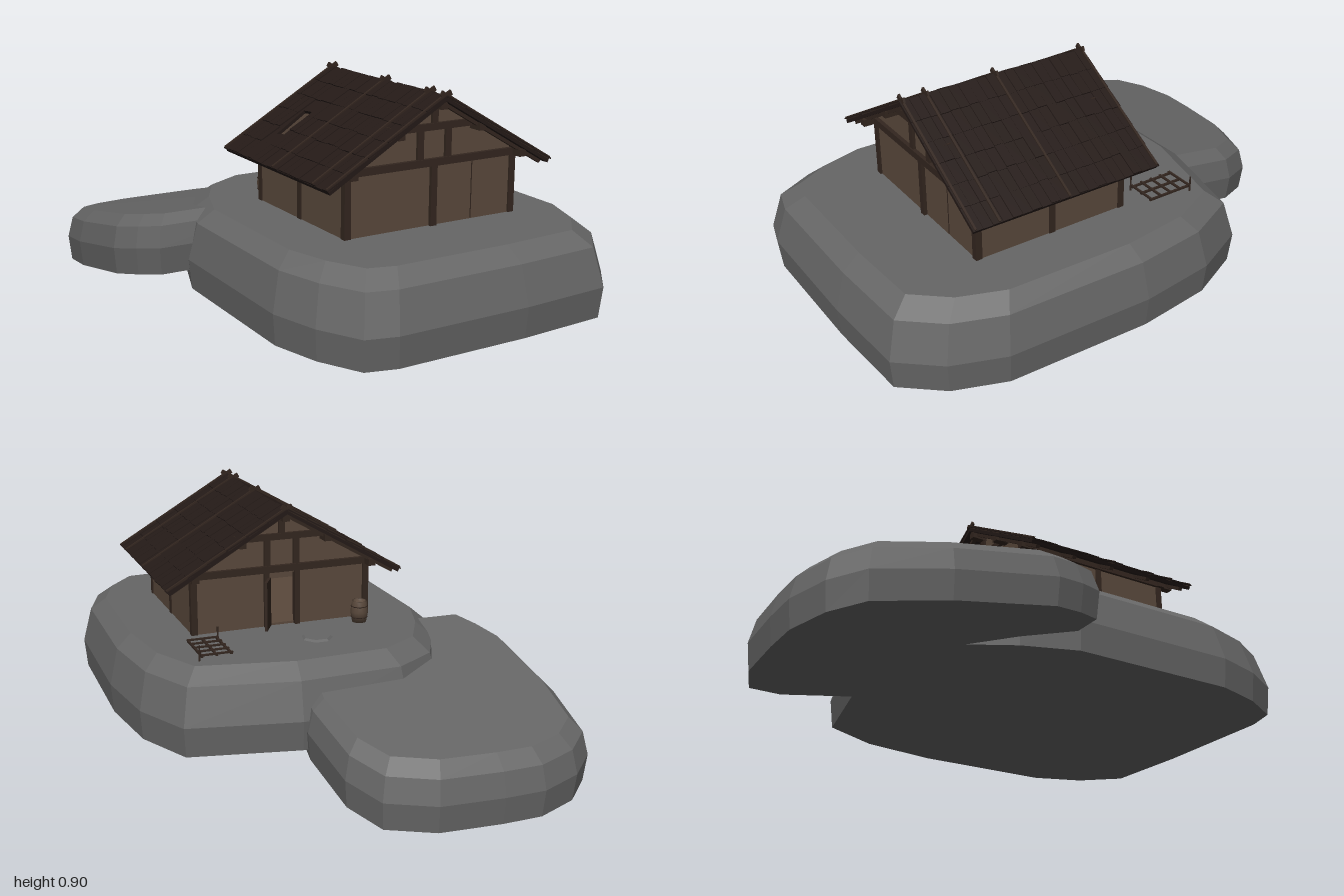
import * as THREE from 'three';

const mat = (color, extra = {}) => new THREE.MeshStandardMaterial({ color, ...extra });
const ROCK = mat(0x666666, { flatShading: true });
const WALL = mat(0x5a493c, { side: THREE.DoubleSide });
const BEAM = mat(0x33261f);
const ROOF = mat(0x241a17);

const GROUND = 0.437, MID = 0.1, ZF = 0.6, ZB = 0;
const RIDGE = 0.89, PITCH = Math.atan2(0.262, 0.45), SLOPE = 0.522;

let seed = 7;
const rnd = () => (seed = (seed * 16807) % 2147483647) / 2147483647;

function add(parent, name, geo, material, x = 0, y = 0, z = 0) {
  const m = new THREE.Mesh(geo, material);
  m.name = name;
  m.position.set(x, y, z);
  parent.add(m);
  return m;
}
const box = (parent, name, material, w, h, d, x, y, z) =>
  add(parent, name, new THREE.BoxGeometry(w, h, d), material, x, y, z);

// Boulder: an outline stacked in layers [scale, height], optionally sloping along z
function boulder(outline, layers, cx, cz, slope) {
  const n = outline.length, pos = [], idx = [];
  const put = (x, y, z) => pos.push(x, y + slope * z, z);
  for (const [s, y] of layers)
    for (const [x, z] of outline) put(cx + (x - cx) * s, y, cz + (z - cz) * s);
  const top = (layers.length - 1) * n, base = layers.length * n;
  put(cx, layers[0][1], cz);
  put(cx, layers[layers.length - 1][1] + 0.004, cz);
  for (let i = 0; i < n; i++) {
    const j = (i + 1) % n;
    for (let l = 0; l < top; l += n)
      idx.push(l + i, l + n + i, l + j, l + j, l + n + i, l + n + j);
    idx.push(base, i, j, base + 1, top + j, top + i);
  }
  const g = new THREE.BufferGeometry();
  g.setAttribute('position', new THREE.Float32BufferAttribute(pos, 3));
  g.setIndex(idx);
  g.computeVertexNormals();
  return g;
}

// Gable wall panel with an optional doorway
function gable(door) {
  const s = new THREE.Shape();
  s.moveTo(-0.24, GROUND - 0.01);
  if (door) {
    s.lineTo(0.045, GROUND - 0.01);
    s.lineTo(0.045, 0.64);
    s.lineTo(0.15, 0.64);
    s.lineTo(0.15, GROUND - 0.01);
  }
  s.lineTo(0.44, GROUND - 0.01);
  s.lineTo(0.44, 0.675);
  s.lineTo(MID, 0.872);
  s.lineTo(-0.24, 0.675);
  return new THREE.ExtrudeGeometry(s, { depth: 0.012, bevelEnabled: false });
}

function rocks(g) {
  add(g, 'mainRock', boulder(
    [[-0.2, -0.48], [0.2, -0.49], [0.6, -0.4], [0.7, -0.19], [0.74, 0.1], [0.73, 0.65], [0.66, 0.84],
      [0.54, 0.98], [0.2, 1], [-0.3, 1], [-0.41, 0.97], [-0.49, 0.82], [-0.54, 0.64], [-0.54, 0],
      [-0.47, -0.2], [-0.37, -0.38]],
    [[0.985, 0.14], [1, 0.25], [0.95, 0.385], [0.86, 0.435]], 0.1, 0.26, 0), ROCK);
  add(g, 'lowerRock', boulder(
    [[-0.45, -1], [-0.3, -1], [-0.07, -0.985], [0.1, -0.92], [0.17, -0.78], [0.19, -0.5], [0.15, -0.2],
      [0.04, -0.02], [-0.25, 0.01], [-0.65, 0], [-0.7, -0.1], [-0.74, -0.22], [-0.74, -0.6],
      [-0.7, -0.86], [-0.6, -0.95]],
    [[0.98, 0.21], [1, 0.31], [0.96, 0.39], [0.87, 0.43]], -0.27, -0.49, 0.2), ROCK);
}

function house(g) {
  // Walls and floor
  box(g, 'floor', WALL, 0.68, 0.01, 0.58, MID, GROUND + 0.004, 0.3);
  add(g, 'frontWall', gable(false), WALL, 0, 0, ZF - 0.017);
  add(g, 'backWall', gable(true), WALL, 0, 0, ZB + 0.005);
  const wallH = 0.68 - GROUND, midY = (0.68 + GROUND) / 2;
  for (const s of [-1, 1]) {
    box(g, 'sideWall', WALL, 0.012, wallH, 0.59, MID + s * 0.342, midY, 0.3);
    for (const z of [0.01, 0.3, 0.59])
      box(g, 'wallPost', BEAM, 0.024, wallH, 0.024, MID + s * 0.34, midY, z);
    // Long plates and purlins under the roof
    box(g, 'topPlate', BEAM, 0.028, 0.026, 0.7, MID + s * 0.345, 0.66, 0.3);
    box(g, 'purlin', BEAM, 0.026, 0.026, 0.7, MID + s * 0.165, 0.772, 0.3);
  }
  box(g, 'ridgeBeam', BEAM, 0.026, 0.03, 0.71, MID, 0.862, 0.3);

  // Timber framing of both gables
  for (const z of [ZF - 0.005, ZB + 0.005]) {
    box(g, 'tieBeam', BEAM, 0.73, 0.026, 0.03, MID, 0.66, z);
    box(g, 'collarBeam', BEAM, 0.36, 0.024, 0.026, MID, 0.782, z);
    box(g, 'kingPost', BEAM, 0.024, 0.09, 0.022, MID, 0.833, z);
    for (const s of [-1, 1])
      box(g, 'strut', BEAM, 0.024, 0.11, 0.022, MID + s * 0.057, 0.72, z);
  }
  box(g, 'centrePost', BEAM, 0.024, 0.22, 0.026, MID, 0.547, ZF - 0.005);
  box(g, 'plankSeam', BEAM, 0.003, 0.21, 0.004, 0.265, 0.545, ZF - 0.005);

  // Doorway and open door
  for (const s of [-1, 1])
    box(g, 'doorPost', BEAM, 0.02, 0.22, 0.026, MID + s * 0.06, 0.547, ZB + 0.005);
  const door = new THREE.Group();
  door.name = 'openDoor';
  door.position.set(0.15, 0, ZB - 0.006);
  door.rotation.y = Math.PI / 3;
  box(door, 'doorLeaf', BEAM, 0.075, 0.185, 0.01, 0.037, 0.537, 0);
  g.add(door);
}

function roof(g) {
  for (const s of [-1, 1]) {
    const side = new THREE.Group();
    side.name = s > 0 ? 'leftRoof' : 'rightRoof';
    side.position.set(MID, RIDGE, 0.3);
    side.rotation.z = -s * PITCH;
    // Roof deck, broken through on one side
    const deck = new THREE.Shape();
    deck.moveTo(0, -0.365);
    deck.lineTo(s * SLOPE, -0.365);
    deck.lineTo(s * SLOPE, 0.365);
    deck.lineTo(0, 0.365);
    if (s < 0) {
      const hole = new THREE.Path();
      hole.moveTo(-0.24, -0.215);
      hole.lineTo(-0.235, -0.165);
      hole.lineTo(-0.37, -0.16);
      hole.lineTo(-0.38, -0.2);
      deck.holes.push(hole);
    }
    const deckGeo = new THREE.ExtrudeGeometry(deck, { depth: 0.012, bevelEnabled: false });
    add(side, 'roofDeck', deckGeo.rotateX(Math.PI / 2), ROOF);
    // Overlapping shakes
    const rows = 6, cols = 20, step = SLOPE / rows, w = 0.74 / cols;
    for (let r = 0; r < rows; r++) for (let c = 0; c < cols; c++) {
      const d = (r + 0.5) * step, z = -0.37 + (c + 0.5) * w;
      if (s < 0 && d > 0.2 && d < 0.41 && z > -0.235 && z < -0.145) continue;
      const len = step * (0.98 + 0.12 * rnd());
      const shake = box(side, 'shake', ROOF, len, 0.005, w * 0.95, s * d, 0.003 + 0.003 * rnd(), z);
      shake.rotation.z = s * 0.03;
    }
    // Rafters, the outer ones crossing over the ridge
    for (const z of [-0.36, 0, 0.27, 0.36])
      box(side, 'crossingRafter', BEAM, SLOPE + 0.025, 0.018, 0.008, s * (SLOPE / 2 - 0.0125), 0.003, z);
    for (const z of [-0.33, -0.17, 0, 0.17, 0.33])
      box(side, 'rafter', BEAM, SLOPE - 0.02, 0.014, 0.016, s * (SLOPE / 2), -0.017, z);
    g.add(side);
  }
}

function yard(g) {
  // Barrel beside the back wall
  const barrel = [[0, 0], [0.027, 0], [0.034, 0.04], [0.028, 0.082], [0.024, 0.082], [0.024, 0.07], [0, 0.07]];
  add(g, 'barrel', new THREE.LatheGeometry(barrel.map(p => new THREE.Vector2(...p)), 14),
    WALL, -0.19, GROUND, -0.06);
  for (const y of [0.02, 0.062]) {
    const hoop = add(g, 'barrelHoop', new THREE.TorusGeometry(0.031, 0.002, 5, 14), BEAM, -0.19, GROUND + y, -0.06);
    hoop.rotation.x = Math.PI / 2;
  }
  // Low lattice rack with two upright poles
  for (let i = 0; i < 3; i++)
    box(g, 'rackRail', BEAM, 0.008, 0.007, 0.18, 0.385 + i * 0.053, GROUND + 0.014, -0.18);
  for (let i = 0; i < 5; i++)
    box(g, 'rackSlat', BEAM, 0.118, 0.006, 0.008, 0.438, GROUND + 0.018, -0.266 + i * 0.043);
  for (const [x, z] of [[0.5, -0.265], [0.38, -0.09]])
    add(g, 'rackPole', new THREE.CylinderGeometry(0.003, 0.004, 0.06, 6), BEAM, x, GROUND + 0.025, z);
  // Flat stepping stone before the door
  add(g, 'doorstone', new THREE.CylinderGeometry(0.05, 0.06, 0.008, 7), ROCK, 0.03, GROUND + 0.002, -0.18);
}

export function createModel() {
  const model = new THREE.Group();
  model.name = 'houseOnRocks';
  for (const [name, build] of Object.entries({ rocks, house, roof, yard })) {
    const part = new THREE.Group();
    part.name = name;
    build(part);
    model.add(part);
  }
  return model;
}
